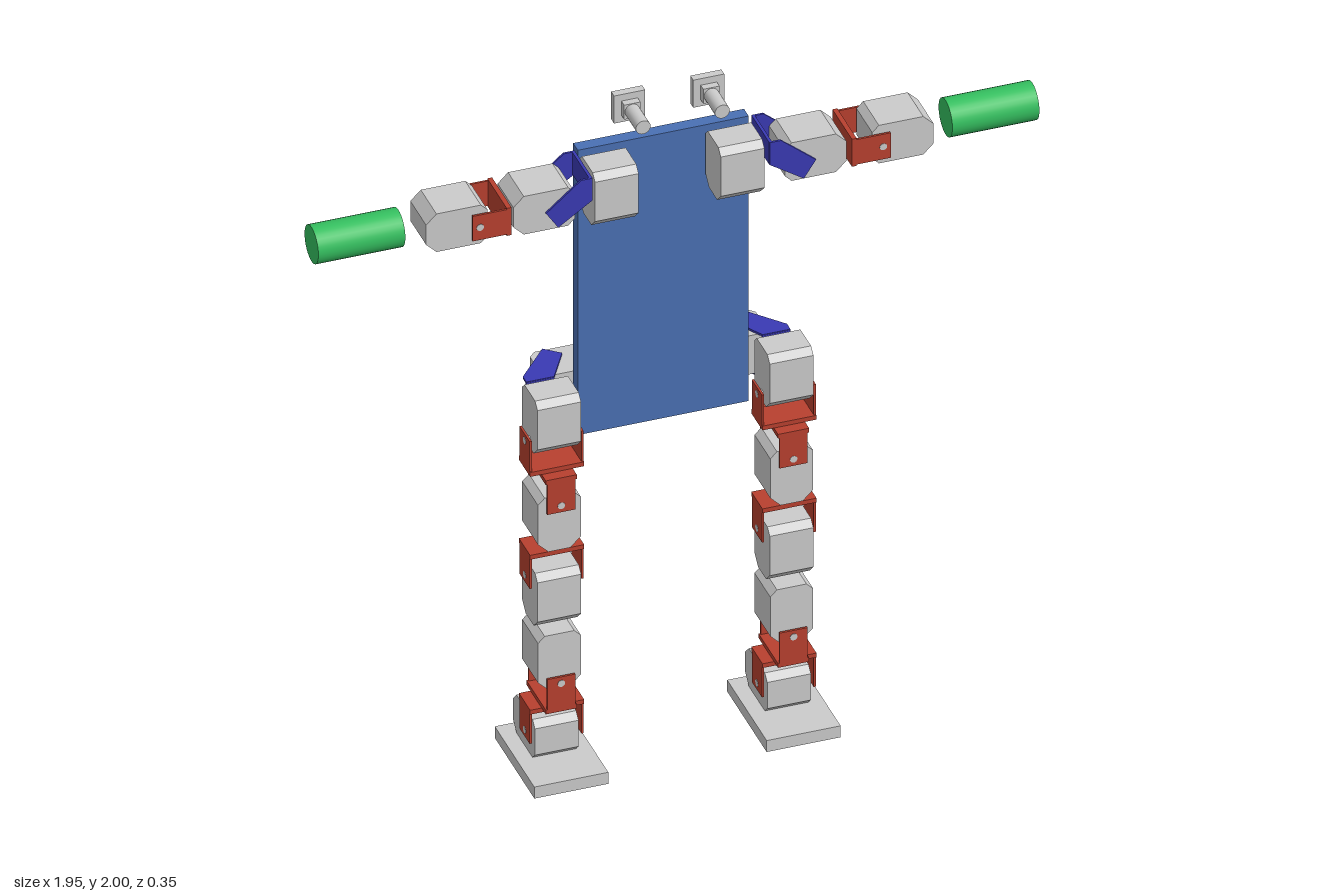
import * as THREE from 'three';

const mat = (color) => new THREE.MeshStandardMaterial({ color });
const grey = mat(0xcccccc), red = mat(0xb8402f), blue = mat(0x3a3ab4), panel = mat(0x4a70b4), green = mat(0x35c060);
const Q = Math.PI / 2;
const ARM_Y = 1.747, ARM_Z = 0.06, LEG_X = 0.314, LEG_Z = 0.028;

function add(parent, name, geometry, material, x = 0, y = 0, z = 0) {
  const mesh = new THREE.Mesh(geometry, material);
  mesh.name = name;
  mesh.position.set(x, y, z);
  parent.add(mesh);
  return mesh;
}

function box(parent, name, material, w, h, d, x, y, z) {
  return add(parent, name, new THREE.BoxGeometry(w, h, d), material, x, y, z);
}

// polygon extruded along z, centred on z = 0
function slab(points, depth) {
  const shape = new THREE.Shape(points.map(([x, y]) => new THREE.Vector2(x, y)));
  return new THREE.ExtrudeGeometry(shape, { depth, bevelEnabled: false }).translate(0, 0, -depth / 2);
}

// motor housing: long axis y, broad chamfers at the lower end
const servoGeometry = slab([
  [-0.058, -0.055], [-0.03, -0.083], [0.03, -0.083], [0.058, -0.055],
  [0.058, 0.065], [0.04, 0.083], [-0.04, 0.083], [-0.058, 0.065],
], 0.118);

function servo(parent, name, x, y, z, rx = 0, ry = 0, rz = 0) {
  add(parent, name, servoGeometry, grey, x, y, z).rotation.set(rx, ry, rz, 'ZYX');
}

// U bracket: crossbar at the origin, arms at +-x reaching down
function bracket(parent, name, x, y, z, rx = 0, ry = 0, rz = 0) {
  const g = new THREE.Group();
  g.name = name;
  box(g, 'crossbar', red, 0.146, 0.013, 0.084, 0, -0.0065, 0);
  for (const s of [-1, 1]) {
    box(g, 'bracketArm', red, 0.006, 0.105, 0.076, s * 0.07, -0.0525, 0);
    const pin = add(g, 'pivotPin', new THREE.CylinderGeometry(0.01, 0.01, 0.016, 16), grey, s * 0.066, -0.085, 0);
    pin.rotation.z = Q;
  }
  g.position.set(x, y, z);
  g.rotation.set(rx, ry, rz, 'ZYX');
  parent.add(g);
}

// angled bracket: two parallel plates joined by a crossbar
function angledBracket(parent, name, points, gap, [cx, cy, cw, ch]) {
  const g = new THREE.Group();
  g.name = name;
  for (const s of [-1, 1]) add(g, 'sidePlate', slab(points, 0.006), blue, 0, 0, s * gap / 2);
  box(g, 'crossbar', blue, cw, ch, gap, cx, cy, 0);
  parent.add(g);
  return g;
}

function buildArm(s) {
  const arm = new THREE.Group();
  arm.name = s > 0 ? 'leftArm' : 'rightArm';
  servo(arm, 'shoulderServo', s * 0.17, 1.739, ARM_Z, 0, Q);
  const b = angledBracket(arm, 'shoulderBracket', [
    [s * 0.24, 1.825], [s * 0.27, 1.825], [s * 0.365, 1.745], [s * 0.332, 1.695], [s * 0.24, 1.757],
  ], 0.13, [s * 0.243, 1.791, 0.008, 0.068]);
  b.position.z = ARM_Z;
  servo(arm, 'upperArmServo', s * 0.367, ARM_Y, ARM_Z, 0, 0, s * Q);
  bracket(arm, 'elbowBracket', s * 0.46, ARM_Y, ARM_Z, 0, Q, s * Q);
  servo(arm, 'forearmServo', s * 0.603, ARM_Y, ARM_Z, 0, 0, s * Q);
  const hand = add(arm, 'hand', new THREE.CylinderGeometry(0.052, 0.052, 0.235, 32), green, s * 0.857, ARM_Y, ARM_Z);
  hand.rotation.z = Q;
  return arm;
}

function buildLeg(s) {
  const leg = new THREE.Group();
  leg.name = s > 0 ? 'leftLeg' : 'rightLeg';
  const x = s * LEG_X, z = LEG_Z;
  servo(leg, 'hipYawServo', s * 0.222, 1.056, -0.118, Q, s * Q);
  // plate outline is given in x and z, then laid flat
  const b = angledBracket(leg, 'hipBracket', [
    [s * 0.357, -0.042], [s * 0.357, -0.068], [s * 0.267, -0.172], [s * 0.226, -0.137], [s * 0.282, -0.042],
  ], 0.128, [s * 0.319, -0.045, 0.076, 0.008]);
  b.rotation.x = Q;
  b.position.y = 1.056;
  servo(leg, 'hipServo', x, 1.054, z, 0, Q);
  bracket(leg, 'hipUpperBracket', x, 0.91, z, Math.PI);
  bracket(leg, 'hipLowerBracket', x, 0.91, z, 0, Q);
  servo(leg, 'thighServo', x, 0.765, z);
  bracket(leg, 'kneeBracket', x, 0.67, z);
  servo(leg, 'kneeServo', x, 0.528, z, 0, Q);
  servo(leg, 'shinServo', x, 0.343, z);
  bracket(leg, 'ankleUpperBracket', x, 0.197, z, Math.PI, Q);
  bracket(leg, 'ankleLowerBracket', x, 0.197, z);
  servo(leg, 'ankleServo', x, 0.095, -0.016, Q, 0, Q);
  box(leg, 'foot', grey, 0.2, 0.035, 0.296, x, 0.0175, 0.028);
  return leg;
}

function buildEye(s) {
  const eye = new THREE.Group();
  eye.name = s > 0 ? 'leftEye' : 'rightEye';
  const x = s * 0.107, y = 1.958;
  box(eye, 'eyePlate', grey, 0.084, 0.084, 0.022, x, y, 0.028);
  box(eye, 'eyeMount', grey, 0.044, 0.044, 0.02, x, y, 0.049);
  const tube = add(eye, 'eyeTube', new THREE.CylinderGeometry(0.02, 0.02, 0.102, 24), grey, x, y, 0.09);
  tube.rotation.x = Q;
  return eye;
}

export function createModel() {
  const model = new THREE.Group();
  model.name = 'robot';
  box(model, 'torsoPanel', panel, 0.462, 0.87, 0.035, 0, 1.39, -0.023);
  // battery packs on the back
  for (const y of [1.289, 1.192]) box(model, 'batteryPack', grey, 0.336, 0.078, 0.106, 0, y, -0.113);
  for (const s of [1, -1]) model.add(buildArm(s), buildLeg(s), buildEye(s));
  return model;
}
